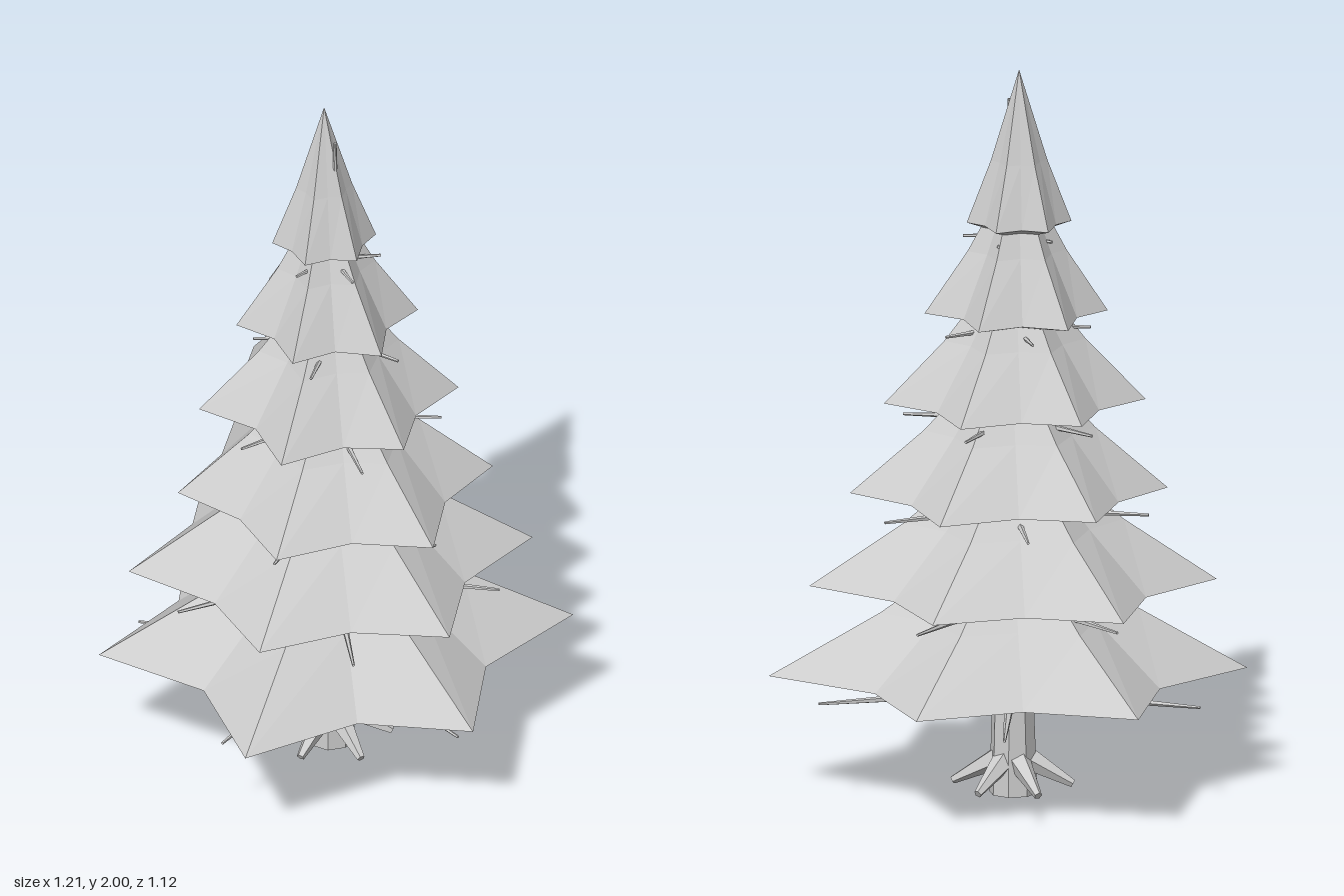
import * as THREE from 'three';

const grey = new THREE.MeshStandardMaterial({ color: 0xcccccc, flatShading: true });
grey.name = 'plain grey';

const rad = THREE.MathUtils.degToRad;

// Six tip radii per tier, counted from +x towards the front
const TIERS = [
  { x: 0, tips: [0.60, 0.64, 0.63, 0.605, 0.58, 0.65], valley: 0.44 },
  { x: -0.015, tips: [0.515, 0.51, 0.54, 0.52, 0.50, 0.55], valley: 0.39 },
  { x: 0.005, tips: [0.425, 0.42, 0.42, 0.41, 0.43, 0.43], valley: 0.32 },
  { x: -0.015, tips: [0.32, 0.35, 0.35, 0.32, 0.33, 0.35], valley: 0.25 },
  { x: -0.03, tips: [0.24, 0.24, 0.24, 0.24, 0.24, 0.25], valley: 0.175 },
  { x: -0.035, tips: [0.14, 0.14, 0.14, 0.14, 0.14, 0.14], valley: 0.11 },
];

// Star-shaped skirt: sunken underside, rim, shoulder ring and apex
function tierGeometry({ tips, valley }, height) {
  const ring = (scale, y, inner) => Array.from({ length: 12 }, (_, i) => {
    const a = rad(i * 30);
    const r = scale * (i % 2 ? inner : tips[i / 2]);
    return [r * Math.cos(a), y + (i % 2 ? 0.004 * scale : 0), r * Math.sin(a)];
  });
  const rings = [
    ring(0, -0.045, 0),
    ring(1, 0, valley),
    ring(0.54, 0.17, valley * 1.05),
    ring(0, height, 0),
  ];
  const pos = [];
  for (let k = 0; k < 3; k++) {
    for (let i = 0; i < 12; i++) {
      const j = (i + 1) % 12;
      const [lo, hi] = [rings[k], rings[k + 1]];
      if (k > 0) pos.push(...lo[i], ...hi[i], ...lo[j]);
      if (k < 2) pos.push(...lo[j], ...hi[i], ...hi[j]);
    }
  }
  const geo = new THREE.BufferGeometry();
  geo.setAttribute('position', new THREE.Float32BufferAttribute(pos, 3));
  geo.computeVertexNormals();
  return geo;
}

// Tapered limb between two points
function limb(name, from, to, r0, r1, sides) {
  const a = new THREE.Vector3(...from), b = new THREE.Vector3(...to);
  const dir = b.clone().sub(a);
  const mesh = new THREE.Mesh(new THREE.CylinderGeometry(r1, r0, dir.length(), sides), grey);
  mesh.position.copy(a).add(b).multiplyScalar(0.5);
  mesh.quaternion.setFromUnitVectors(new THREE.Vector3(0, 1, 0), dir.normalize());
  mesh.name = name;
  return mesh;
}

export function createModel() {
  const tree = new THREE.Group();
  tree.name = 'pineTree';

  // Trunk runs through the whole tree, its thin top showing beside the apex
  tree.add(limb('trunk', [-0.008, 0, 0], [0.012, 1.91, 0], 0.065, 0.004, 8));

  // Roots
  for (let i = 0; i < 6; i++) {
    const a = rad(10 + i * 60), c = Math.cos(a), s = Math.sin(a);
    tree.add(limb('root', [0.03 * c - 0.005, 0.1, 0.03 * s], [0.165 * c - 0.005, 0.028, 0.16 * s], 0.034, 0.011, 5));
  }

  TIERS.forEach((tier, t) => {
    // Foliage
    const y = 0.33 + t * 0.25;
    const skirt = new THREE.Mesh(tierGeometry(tier, 0.42), grey);
    skirt.position.set(tier.x, y, 0);
    skirt.name = 'foliageTier';
    tree.add(skirt);

    // Five bare branches below each tier, turned a little more each time
    const reach = 0.535 - t * 0.081;
    for (let i = 0; i < 5; i++) {
      const a = rad(t * 31.6 + i * 72);
      const by = 0.28 + t * 0.251;
      tree.add(limb('branch', [0, by, 0], [reach * Math.cos(a), by, reach * Math.sin(a)], 0.018 - t * 0.002, 0.004, 5));
    }
  });
  return tree;
}
